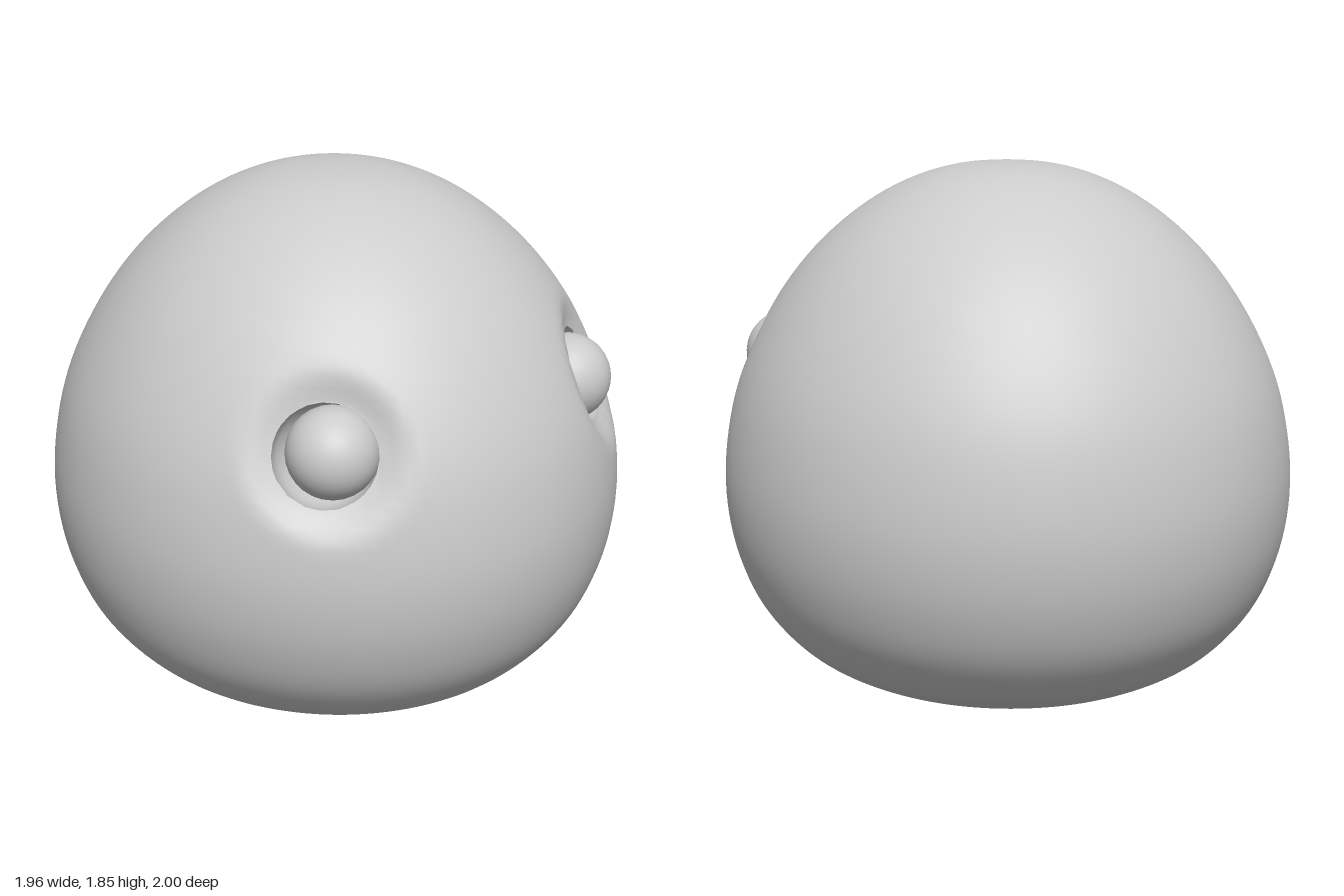
import * as THREE from 'three';
import { mergeVertices } from 'three/addons/utils/BufferGeometryUtils.js';

const grey = new THREE.MeshStandardMaterial({ color: 0xcccccc });
const greyDouble = new THREE.MeshStandardMaterial({ color: 0xcccccc, side: THREE.DoubleSide });

const RIM = 0.168;   // radius of the eye opening
const DENT = 0.29;   // radius where the dent around it fades out
const EYE = 0.15;    // eyeball radius
const UP = new THREE.Vector3(0, 1, 0);

// Each eye: middle of the opening, direction it faces, eyeball centre
const sockets = [1, -1].map((s) => ({
  side: s > 0 ? 'left' : 'right',
  center: new THREE.Vector3(0.555 * s, 1.16, 0.64),
  axis: new THREE.Vector3(0.59 * s, 0.36, 0.72).normalize(),
  eye: new THREE.Vector3(0.51 * s, 1.155, 0.62),
}));

const v2 = (pairs) => pairs.map(([x, y]) => new THREE.Vector2(x, y));

// Splits a point into its height along the socket axis and its offset from it
function socketSpace(p, { center, axis }) {
  const offset = p.clone().sub(center);
  const height = offset.dot(axis);
  offset.addScaledVector(axis, -height);
  return { height, offset, d: height > -0.5 ? offset.length() : Infinity };
}

// Dome-shaped body with two dented round openings
function bodyGeometry() {
  const profile = new THREE.SplineCurve(v2([
    [0, 0], [0.2, 0.01], [0.4, 0.037], [0.58, 0.09], [0.74, 0.185], [0.87, 0.335],
    [0.945, 0.51], [0.977, 0.69], [0.973, 0.87], [0.935, 1.07], [0.865, 1.25],
    [0.76, 1.43], [0.635, 1.58], [0.485, 1.705], [0.33, 1.79], [0.17, 1.838], [0, 1.852],
  ])).getSpacedPoints(84);
  profile[0].x = profile[84].x = 0;
  let geo = new THREE.LatheGeometry(profile, 128);
  geo.scale(1, 1, 1.023);
  geo.deleteAttribute('uv');
  geo.deleteAttribute('normal');
  geo = mergeVertices(geo, 1e-4);

  const pos = geo.attributes.position;
  for (const socket of sockets) {
    const inside = [];
    const p = new THREE.Vector3();
    for (let i = 0; i < pos.count; i++) {
      const { height, offset, d } = socketSpace(p.fromBufferAttribute(pos, i), socket);
      inside[i] = d < RIM;
      if (d >= DENT) continue;
      // Flatten towards the rim plane, and pull inner points out to the rim
      const weight = 1 - THREE.MathUtils.smoothstep(d, RIM, DENT);
      offset.setLength(Math.max(d, RIM));
      p.copy(socket.center).add(offset).addScaledVector(socket.axis, height * (1 - weight));
      pos.setXYZ(i, p.x, p.y, p.z);
    }
    // Drop the faces that covered the opening
    const old = geo.index.array;
    const kept = [];
    for (let i = 0; i < old.length; i += 3) {
      const [a, b, c] = [old[i], old[i + 1], old[i + 2]];
      const flat = a === b || b === c || a === c;
      if (!flat && !(inside[a] && inside[b] && inside[c])) kept.push(a, b, c);
    }
    geo.setIndex(kept);
  }
  geo.computeVertexNormals();
  return geo;
}

export function createModel() {
  const model = new THREE.Group();

  const body = new THREE.Mesh(bodyGeometry(), greyDouble);
  body.name = 'body';
  model.add(body);

  // Hollow bowl behind each opening
  const bowl = new THREE.LatheGeometry(v2([
    [RIM, 0], [0.17, -0.05], [0.155, -0.12], [0.11, -0.18], [0.05, -0.205], [0, -0.21],
  ]), 40);
  const ball = new THREE.SphereGeometry(EYE, 28, 20);

  for (const { side, center, axis, eye } of sockets) {
    const socket = new THREE.Mesh(bowl, greyDouble);
    socket.name = `${side}EyeSocket`;
    socket.position.copy(center);
    socket.quaternion.setFromUnitVectors(UP, axis);

    const eyeball = new THREE.Mesh(ball, grey);
    eyeball.name = `${side}Eye`;
    eyeball.position.copy(eye);
    eyeball.quaternion.setFromUnitVectors(UP, axis);
    model.add(socket, eyeball);
  }
  return model;
}
